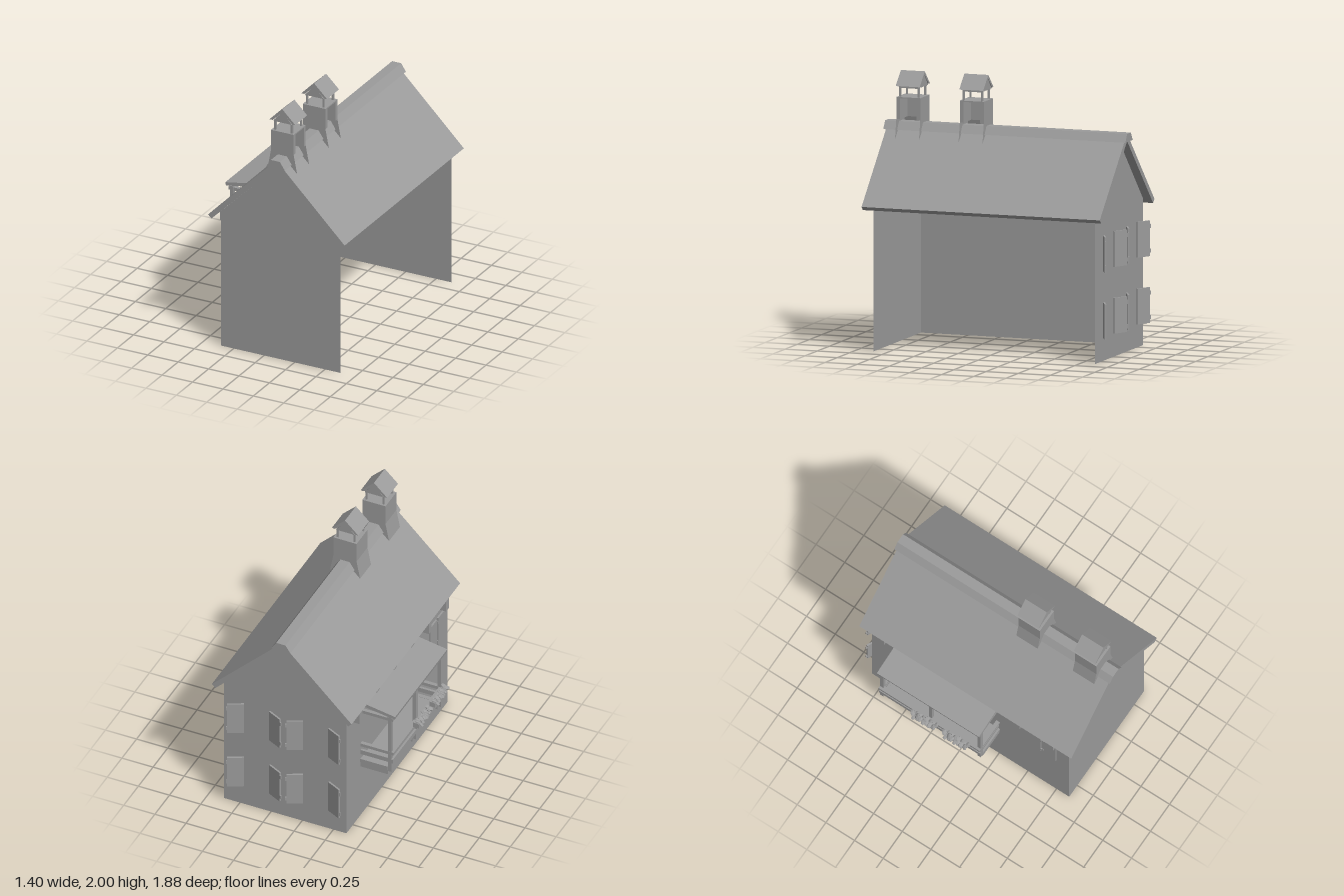
import * as THREE from 'three';

const grey = new THREE.MeshStandardMaterial({ color: 0x9b9b9b, flatShading: true, side: THREE.DoubleSide });
const CX = 0.135; // ridge line of the house

function add(parent, name, geometry) {
  const mesh = new THREE.Mesh(geometry, grey);
  mesh.name = name;
  parent.add(mesh);
  return mesh;
}

function group(parent, name) {
  const g = new THREE.Group();
  g.name = name;
  parent.add(g);
  return g;
}

// Box given by its limits
function box(parent, name, x0, x1, y0, y1, z0, z1) {
  const mesh = add(parent, name, new THREE.BoxGeometry(x1 - x0, y1 - y0, z1 - z0));
  mesh.position.set((x0 + x1) / 2, (y0 + y1) / 2, (z0 + z1) / 2);
  return mesh;
}

const shapeOf = (pts) => new THREE.Shape(pts.map(([x, y]) => new THREE.Vector2(x, y)));

// Front profile carried along z
function prism(parent, name, pts, z0, z1) {
  const mesh = add(parent, name, new THREE.ExtrudeGeometry(shapeOf(pts), { depth: z1 - z0, bevelEnabled: false }));
  mesh.position.z = z0;
  return mesh;
}

// Thin sheet standing across z
function sheet(parent, name, pts, z) {
  add(parent, name, new THREE.ShapeGeometry(shapeOf(pts))).position.z = z;
}

// Symmetric profile around the ridge line from its right half (top to bottom)
const mirrored = (half) => [
  ...half.map(([d, y]) => [CX + d, y]),
  ...half.slice().reverse().filter(([d]) => d > 0).map(([d, y]) => [CX - d, y]),
];

// Thin walls, open on the left side
function buildWalls(root) {
  const walls = group(root, 'walls');
  const gable = [[-0.355, 0], [0.627, 0], [0.627, 1.08], [CX, 1.572], [-0.355, 1.08]];
  sheet(walls, 'frontWall', gable, 0.861);
  sheet(walls, 'backWall', gable, -0.861);
  const side = add(walls, 'sideWall', new THREE.PlaneGeometry(1.722, 1.08));
  side.rotation.y = -Math.PI / 2;
  side.position.set(-0.355, 0.54, 0);
}

function buildRoof(root) {
  const roof = group(root, 'roof');
  prism(roof, 'roofSlopes', [
    [CX, 1.627], [CX - 0.561, 1.068], [CX - 0.533, 1.041],
    [CX, 1.571], [CX + 0.533, 1.041], [CX + 0.561, 1.068],
  ], -0.924, 0.926);
  prism(roof, 'ridgeCap', mirrored([[0.037, 1.63], [0.077, 1.57]]), -0.939, 0.941);
}

// Flared stack, open to the left, with a small gabled hood on posts
function buildChimney(root, zc) {
  const c = group(root, 'chimney');
  const h = 0.093;
  const flare = mirrored([[0.093, 1.653], [0.122, 1.503]]);
  for (const s of [-1, 1]) {
    sheet(c, 'chimneyFlare', flare, zc + s * h);
    const z = zc + s * (h - 0.014);
    box(c, 'chimneySide', CX - 0.093, CX + 0.093, 1.653, 1.815, z - 0.014, z + 0.014);
  }
  prism(c, 'chimneyBack', [
    [CX - 0.122, 1.503], [CX - 0.093, 1.653], [CX - 0.093, 1.815],
    [CX - 0.067, 1.815], [CX - 0.067, 1.653], [CX - 0.096, 1.53],
  ], zc - h, zc + h);
  box(c, 'chimneyTop', CX - 0.093, CX + 0.093, 1.806, 1.815, zc - h, zc + h);

  for (const s of [-1, 1]) {
    const x = CX + s * 0.068;
    for (const z of [zc - 0.071, zc + 0.071]) {
      box(c, 'hoodPost', x - 0.007, x + 0.007, 1.81, 1.89, z - 0.007, z + 0.007);
    }
    box(c, 'hoodBeam', x - 0.008, x + 0.008, 1.88, 1.897, zc - 0.08, zc + 0.08);
    const z = zc + s * 0.082;
    prism(c, 'hoodGable', mirrored([[0, 1.975], [0.076, 1.89]]), z - 0.008, z + 0.008);
  }
  // Hood eaves are cut level
  prism(c, 'hoodRoof', [
    [CX, 2], [CX - 0.106, 1.897], [CX - 0.08, 1.897],
    [CX, 1.972], [CX + 0.08, 1.897], [CX + 0.106, 1.897],
  ], zc - h, zc + h);
}

// Shutter leaf: hinge at x = 0, free edge towards +x, with small tabs
function shutterLeaf(parent) {
  const h = 0.131;
  const leaf = group(parent, 'shutter');
  box(leaf, 'shutterPanel', 0, 0.122, -h, h, -0.007, 0.007);
  for (const y of [-0.09, 0.09]) {
    box(leaf, 'shutterTab', 0.115, 0.131, y - 0.015, y + 0.015, -0.005, 0.005);
  }
  return leaf;
}

// Two rows of half-open shutters on the back, one closed pair on the side
function buildShutters(root) {
  const shutters = group(root, 'shutters');
  for (const y of [0.303, 0.793]) {
    for (const wx of [-0.24, 0.235]) {
      for (const s of [-1, 1]) {
        const leaf = shutterLeaf(shutters);
        leaf.position.set(CX - 0.009 + wx + s * 0.103, y, -0.868);
        leaf.rotation.y = s > 0 ? 0.46 : Math.PI - 0.46;
      }
    }
  }
  for (const s of [-1, 1]) {
    const leaf = shutterLeaf(shutters);
    leaf.position.set(-0.374, 0.793, 0.64 + s * 0.12);
    leaf.rotation.y = s * Math.PI / 2;
    leaf.scale.x = 0.88;
  }
}

// Planter with a cluster of leaning leaves
function buildPlanter(parent, zc) {
  const p = group(parent, 'planter');
  box(p, 'planterBox', -0.667, -0.622, 0.665, 0.705, zc - 0.09, zc + 0.09);
  for (const z of [zc - 0.06, zc + 0.06]) box(p, 'planterBracket', -0.64, -0.62, 0.635, 0.668, z - 0.008, z + 0.008);
  for (let i = 0; i < 20; i++) {
    const leaf = add(p, 'leaf', new THREE.IcosahedronGeometry(0.022, 0));
    leaf.scale.set(1.15, 0.3, 0.85);
    leaf.position.set(-0.665 + 0.015 * Math.sin(i * 2.4), 0.717 + 0.016 * Math.cos(i * 1.7), zc - 0.098 + i * 0.0103);
    leaf.rotation.set(0.5 * Math.sin(i * 1.3), 0.4 * Math.cos(i * 2.1), 0.5);
  }
}

function buildBalcony(root) {
  const b = group(root, 'balcony');
  const z0 = -0.61, z1 = 0.24, wall = -0.355;
  box(b, 'floorBoards', -0.575, wall, 0.49, 0.517, z0 + 0.015, z1 - 0.015);
  for (const z of [z0, -0.185, z1]) {
    box(b, 'post', -0.603, -0.575, 0.48, 0.965, z - 0.014, z + 0.014);
    box(b, 'floorJoist', -0.575, wall, 0.449, 0.49, z - 0.014, z + 0.014);
  }
  // Side rails and roof beams at both ends
  for (const z of [z0, z1]) {
    box(b, 'sideRail', -0.617, wall, 0.56, 0.596, z - 0.01, z + 0.01);
    box(b, 'sideHandrail', -0.62, wall, 0.635, 0.66, z - 0.015, z + 0.015);
    box(b, 'sideBoard', -0.575, wall, 0.49, 0.519, z - 0.016, z + 0.016);
    box(b, 'sideRoofBeam', -0.615, wall, 0.942, 0.967, z - 0.014, z + 0.014);
  }
  box(b, 'frontRail', -0.617, -0.6, 0.56, 0.596, z0 - 0.015, z1 + 0.015);
  box(b, 'frontHandrail', -0.622, -0.585, 0.635, 0.66, z0 - 0.015, z1 + 0.015);
  box(b, 'frontRoofBeam', -0.605, -0.575, 0.942, 0.975, z0 - 0.015, z1 + 0.015);
  prism(b, 'balconyRoof', [
    [-0.633, 0.973], [-0.349, 1.019], [-0.357, 1.046], [-0.637, 0.998],
  ], -0.63, 0.26);
  for (const z of [-0.2, 0.075]) buildPlanter(b, z);
}

// Row of beam ends under the eaves
function buildBeamEnds(root) {
  const beams = group(root, 'beamEnds');
  for (let i = 0; i < 6; i++) {
    const z = -0.74 + i * 0.295;
    box(beams, 'beamEnd', -0.415, -0.356, 0.955, 1.05, z - 0.025, z + 0.025);
  }
}

export function createModel() {
  const root = new THREE.Group();
  root.name = 'house';
  buildWalls(root);
  buildRoof(root);
  for (const z of [0.74, 0.247]) buildChimney(root, z);
  buildShutters(root);
  buildBalcony(root);
  buildBeamEnds(root);
  return root;
}
